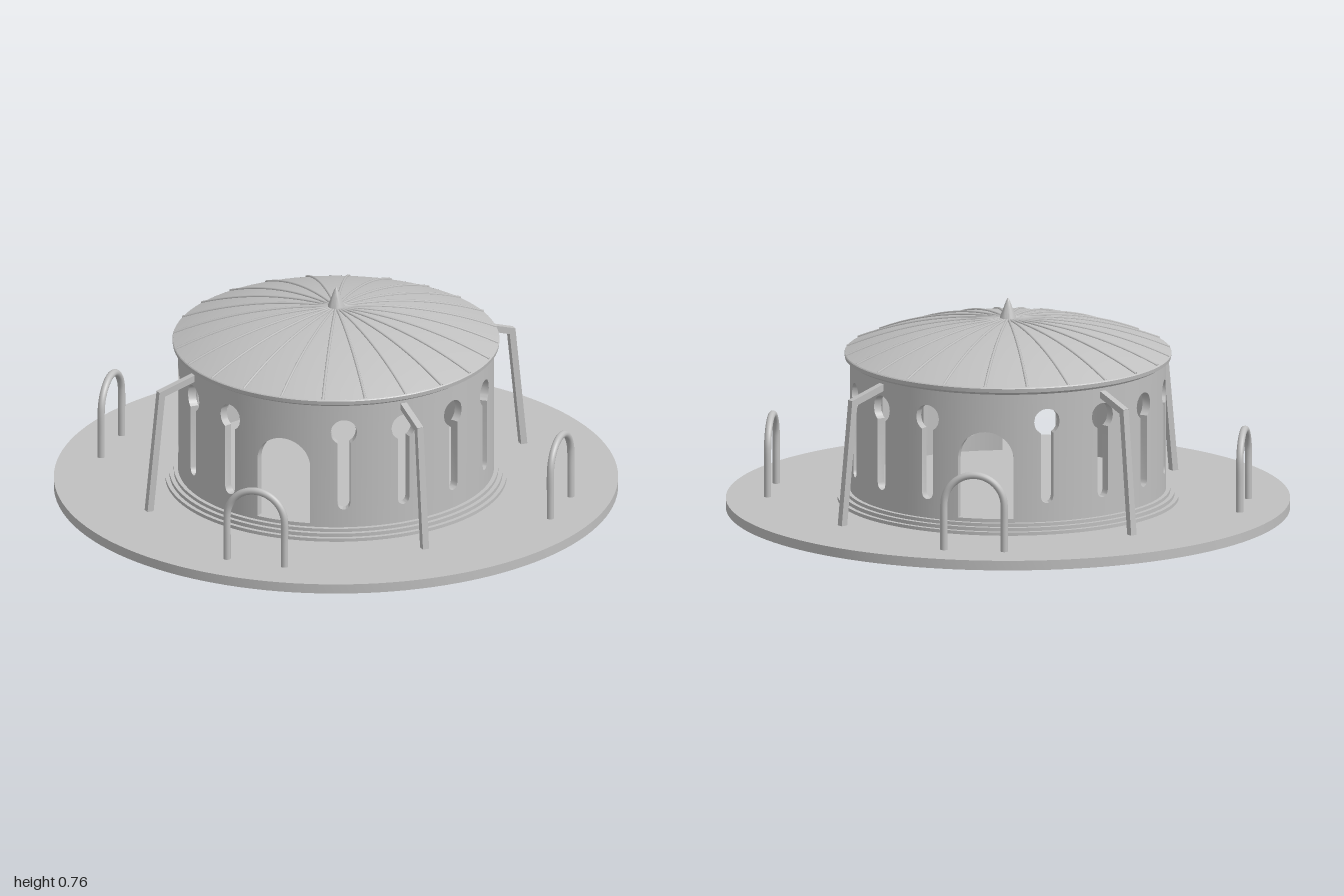
import * as THREE from 'three';
import { toCreasedNormals } from 'three/addons/utils/BufferGeometryUtils.js';

const stone = new THREE.MeshStandardMaterial({ color: 0xc0c0c0, side: THREE.DoubleSide });
stone.name = 'grey stone';

const WALL_OUT = 0.56, WALL_IN = 0.53, WALL_BOTTOM = 0.06, WALL_TOP = 0.555;
const FLOOR = 0.085, PLAZA = 0.035;

function add(parent, name, geometry) {
  const mesh = new THREE.Mesh(geometry, stone);
  mesh.name = name;
  parent.add(mesh);
  return mesh;
}

function lathe(points, segments = 96) {
  const profile = points.map(([r, y]) => new THREE.Vector2(r, y));
  return toCreasedNormals(new THREE.LatheGeometry(profile, segments), 0.5);
}

// Calls fn at n + 1 even steps from a to b
function span(a, b, n, fn) {
  for (let i = 0; i <= n; i++) fn(a + (b - a) * i / n);
}

// Openings are lists of [u, sill, head], u measured along the wall
function keyholeOutline() {
  const R = 0.047, cy = 0.435, s = 0.023, foot = 0.163, list = [];
  const arc = (r, u) => Math.sqrt(Math.max(0, r * r - u * u));
  const ring = u => list.push([u, cy - arc(R, u), cy + arc(R, u)]);
  span(-R, -s, 6, ring);
  span(-s, s, 12, u => list.push([u, foot - arc(s, u), cy + arc(R, u)]));
  span(s, R, 6, ring);
  return list;
}

function doorOutline() {
  const R = 0.1, list = [];
  span(Math.PI, 0, 24, t => list.push([R * Math.cos(t), FLOOR, 0.3 + R * Math.sin(t)]));
  return list;
}

// Curved wall: sixteen bays, each pierced by one opening
function wallGeometry() {
  const samples = [], half = Math.PI / 16;
  for (let bay = 0; bay < 16; bay++) {
    const mid = bay * Math.PI / 8;
    const outline = bay % 8 === 0 ? doorOutline() : keyholeOutline();
    const edge = outline[outline.length - 1][0] / WALL_OUT, sill = outline[0][1];
    const closed = a => samples.push([mid + a, sill, sill]);
    span(-half, -edge, 3, closed);
    for (const [u, lo, hi] of outline) samples.push([mid + u / WALL_OUT, lo, hi]);
    span(edge, half, 3, closed);
  }
  const pos = [];
  const point = (r, a, y) => [r * Math.sin(a), y, r * Math.cos(a)];
  const quad = (a, b, c, d) => pos.push(...a, ...b, ...c, ...a, ...c, ...d);
  for (let i = 0; i < samples.length - 1; i++) {
    const [a, lo, hi] = samples[i], [b, lo2, hi2] = samples[i + 1];
    const O = (t, y) => point(WALL_OUT, t, y), I = (t, y) => point(WALL_IN, t, y);
    if (b - a > 1e-6) {
      // Wall faces below and above the opening
      for (const [y0, y1, y2, y3] of [[WALL_BOTTOM, WALL_BOTTOM, lo2, lo], [hi, hi2, WALL_TOP, WALL_TOP]]) {
        quad(O(a, y0), O(b, y1), O(b, y2), O(a, y3));
        quad(I(b, y1), I(a, y0), I(a, y3), I(b, y2));
      }
    }
    // Reveals of the opening
    if (hi - lo > 1e-6 || hi2 - lo2 > 1e-6) {
      if (b - a > 1e-6 || Math.abs(lo2 - lo) > 1e-6) quad(O(a, lo), O(b, lo2), I(b, lo2), I(a, lo));
      if (b - a > 1e-6 || Math.abs(hi2 - hi) > 1e-6) quad(O(b, hi2), O(a, hi), I(a, hi), I(b, hi2));
    }
  }
  const g = new THREE.BufferGeometry();
  g.setAttribute('position', new THREE.Float32BufferAttribute(pos, 3));
  return toCreasedNormals(g, 0.5);
}

// Shallow dome height at radius r
const CAP = 1.46;
const roofY = r => 0.685 - CAP + Math.sqrt(CAP * CAP - r * r);

// Square bar between two points in the x-y plane
function bar(parent, name, [x0, y0], [x1, y1], w) {
  const mesh = add(parent, name, new THREE.BoxGeometry(w, Math.hypot(x1 - x0, y1 - y0), w));
  mesh.position.set((x0 + x1) / 2, (y0 + y1) / 2, 0);
  mesh.rotation.z = -Math.atan2(x1 - x0, y1 - y0);
}

export function createModel() {
  const model = new THREE.Group();
  model.name = 'roundPavilion';

  // Ground disc, steps and floor
  add(model, 'plaza', lathe([[0, 0], [1, 0], [1, PLAZA], [0, PLAZA]], 128));
  add(model, 'steps', lathe([[0.605, PLAZA], [0.605, 0.047], [0.59, 0.047], [0.59, 0.06],
    [0.575, 0.06], [0.575, 0.072], [0.555, 0.072]]));
  add(model, 'floor', lathe([[0.545, 0.06], [0.545, FLOOR], [0, FLOOR]]));

  add(model, 'wall', wallGeometry());

  // Eaves and domed roof
  add(model, 'eaves', lathe([[0.53, 0.55], [0.56, 0.537], [0.566, 0.545], [0.578, 0.548],
    [0.58, 0.562], [0.575, roofY(0.575)]]));
  const dome = [];
  span(0.578, 0, 12, r => dome.push([r, roofY(r)]));
  add(model, 'roof', lathe(dome));

  // Roof ribs
  const ribs = new THREE.Group();
  ribs.name = 'roofRibs';
  const path = [];
  span(0.02, 0.577, 8, r => path.push(new THREE.Vector3(r, roofY(r) + 0.001, 0)));
  const ribGeometry = new THREE.TubeGeometry(new THREE.CatmullRomCurve3(path), 12, 0.005, 6);
  for (let i = 0; i < 24; i++) add(ribs, 'roofRib', ribGeometry).rotation.y = i * Math.PI / 12;
  model.add(ribs);

  // Finial
  add(model, 'finial', lathe([[0.032, 0.68], [0.028, 0.695], [0.016, 0.725], [0.007, 0.75], [0, 0.762]], 24));

  // Hoop path used by the four arches on the plaza
  const hoop = [new THREE.Vector3(-0.108, PLAZA - 0.005, 0), new THREE.Vector3(-0.108, 0.12, 0)];
  span(Math.PI, 0, 12, t => hoop.push(new THREE.Vector3(0.108 * Math.cos(t), 0.2 + 0.108 * Math.sin(t), 0)));
  hoop.push(new THREE.Vector3(0.108, 0.12, 0), new THREE.Vector3(0.108, PLAZA - 0.005, 0));
  const hoopGeometry = new THREE.TubeGeometry(new THREE.CatmullRomCurve3(hoop), 64, 0.013, 12);

  for (let i = 0; i < 4; i++) {
    const angle = i * Math.PI / 2;
    const arch = add(model, 'archHoop', hoopGeometry);
    arch.rotation.y = angle;
    arch.position.set(0.845 * Math.sin(angle), 0, 0.845 * Math.cos(angle));

    // Leaning buttress on each diagonal
    const buttress = new THREE.Group();
    buttress.name = 'buttress';
    bar(buttress, 'buttressBeam', [0.55, 0.517], [0.695, 0.472], 0.024);
    bar(buttress, 'buttressLeg', [0.686, 0.482], [0.733, PLAZA - 0.003], 0.024);
    buttress.rotation.y = angle + Math.PI / 4;
    model.add(buttress);
  }
  return model;
}
